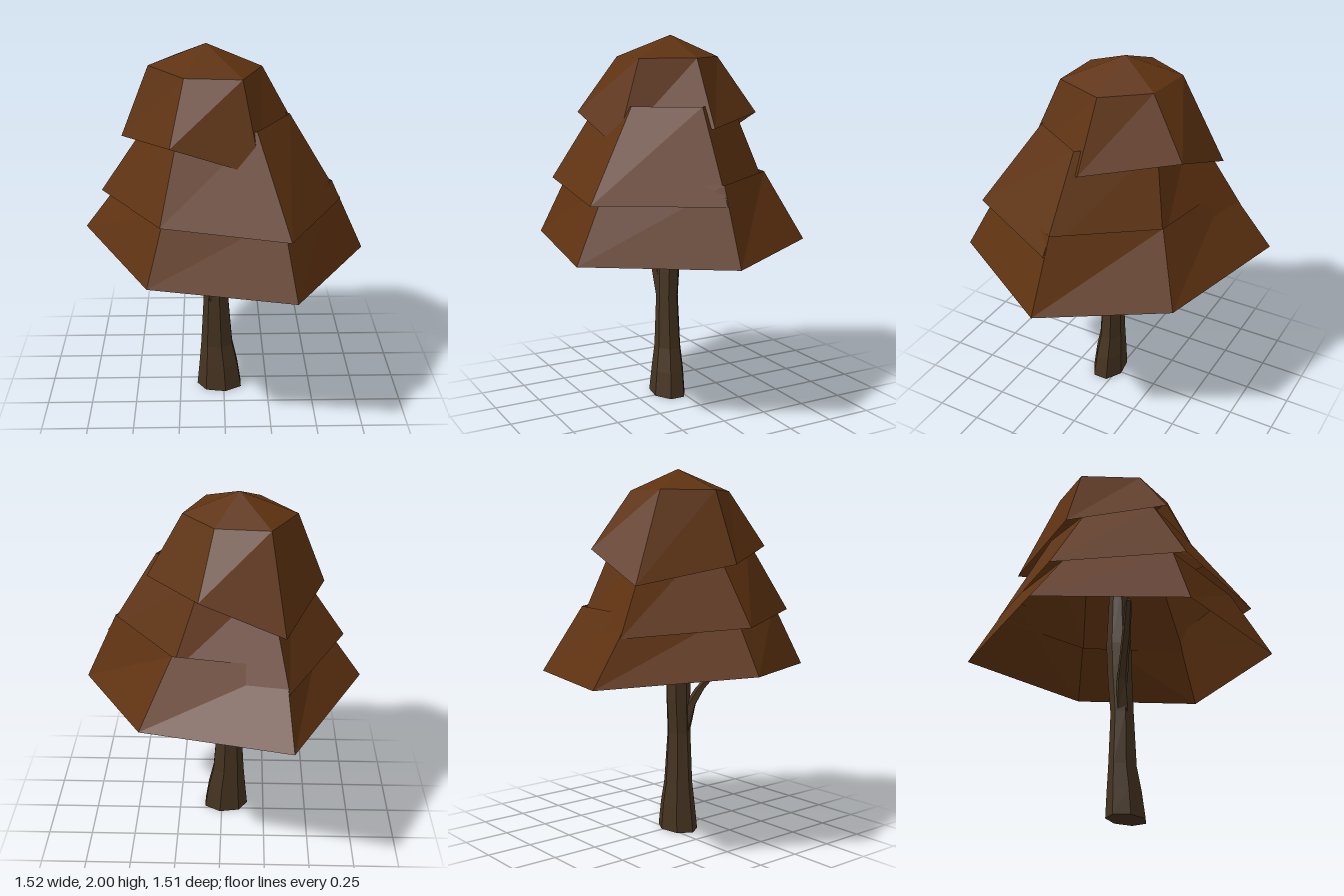
import * as THREE from 'three';

// Skin a stack of equal-sized rings (each running left, back, right, front) into faceted sides.
function loft(rings) {
  const pos = [];
  const n = rings[0].length;
  for (let k = 0; k < rings.length - 1; k++) {
    const low = rings[k], up = rings[k + 1];
    for (let i = 0; i < n; i++) {
      const j = (i + 1) % n;
      pos.push(...low[j], ...low[i], ...up[i], ...low[j], ...up[i], ...up[j]);
    }
  }
  const geo = new THREE.BufferGeometry();
  geo.setAttribute('position', new THREE.Float32BufferAttribute(pos, 3));
  geo.computeVertexNormals();
  return geo;
}

// Regular ring for trunk and branch: centre, radii
function ring(x, y, z, rx, rz = rx, n = 7) {
  return Array.from({ length: n }, (_, i) => {
    const t = (i / n) * Math.PI * 2;
    return [x - rx * Math.cos(t), y, z - rz * Math.sin(t)];
  });
}

const point = (x, y, z, n) => Array.from({ length: n }, () => [x, y, z]);

export function createModel() {
  const group = new THREE.Group();
  const leaf = new THREE.MeshStandardMaterial({ color: 0x5e3210, flatShading: true, side: THREE.DoubleSide });
  const bark = new THREE.MeshStandardMaterial({ color: 0x453320, flatShading: true, side: THREE.DoubleSide });
  const add = (name, rings, material) => {
    const mesh = new THREE.Mesh(loft(rings), material);
    mesh.name = name;
    group.add(mesh);
  };

  // Trunk, flared at the foot and closed underneath
  add('trunk', [
    point(-0.02, 0, 0.06, 7),
    ring(-0.02, 0, 0.06, 0.133, 0.096),
    ring(-0.025, 0.14, 0.055, 0.115, 0.085),
    ring(-0.035, 0.27, 0.05, 0.094, 0.07),
    ring(-0.04, 0.56, 0.05, 0.073, 0.06),
    ring(-0.045, 0.75, 0.04, 0.073, 0.065),
    ring(-0.05, 0.95, 0.035, 0.073, 0.068),
    ring(-0.05, 1.3, 0.03, 0.05),
    point(-0.05, 1.34, 0.03, 7),
  ], bark);

  // Side branch reaching up into the crown
  add('branch', [
    ring(-0.06, 0.56, 0.06, 0.045, 0.045, 5),
    ring(-0.1, 0.72, 0.085, 0.036, 0.03, 5),
    ring(-0.14, 0.81, 0.12, 0.03, 0.025, 5),
    ring(-0.21, 0.92, 0.18, 0.025, 0.025, 5),
    ring(-0.3, 1.06, 0.25, 0.018, 0.018, 5),
    point(-0.31, 1.08, 0.26, 5),
  ], bark);

  // Lower skirt of foliage
  add('lowerFoliage', [
    [[-0.76, 0.97, -0.04], [-0.375, 0.93, -0.76], [0.41, 0.91, -0.55],
      [0.76, 0.88, 0.07], [0.35, 0.89, 0.755], [-0.39, 0.93, 0.66]],
    [[-0.54, 1.27, 0], [-0.33, 1.27, -0.5], [0.24, 1.27, -0.4],
      [0.58, 1.27, 0.06], [0.28, 1.27, 0.56], [-0.3, 1.27, 0.52]],
  ], leaf);

  // Middle skirt
  add('middleFoliage', [
    [[-0.66, 1.2, 0], [-0.35, 1.16, -0.58], [0.25, 1.17, -0.41],
      [0.63, 1.17, 0.07], [0.32, 1.175, 0.665], [-0.32, 1.235, 0.61]],
    [[-0.36, 1.64, 0], [-0.24, 1.64, -0.31], [0.09, 1.64, -0.28],
      [0.345, 1.64, 0.05], [0.16, 1.64, 0.36], [-0.23, 1.64, 0.37]],
  ], leaf);

  // Top tier with its pointed cap
  add('upperFoliage', [
    [[-0.54, 1.51, 0.01], [-0.33, 1.41, -0.47], [0.105, 1.58, -0.43],
      [0.395, 1.53, 0.005], [0.18, 1.44, 0.455], [-0.27, 1.59, 0.475]],
    [[-0.39, 1.885, 0], [-0.25, 1.885, -0.25], [0.03, 1.885, -0.225],
      [0.2, 1.88, 0], [0.09, 1.88, 0.28], [-0.2, 1.885, 0.27]],
    point(-0.09, 2, 0, 6),
  ], leaf);

  return group;
}
